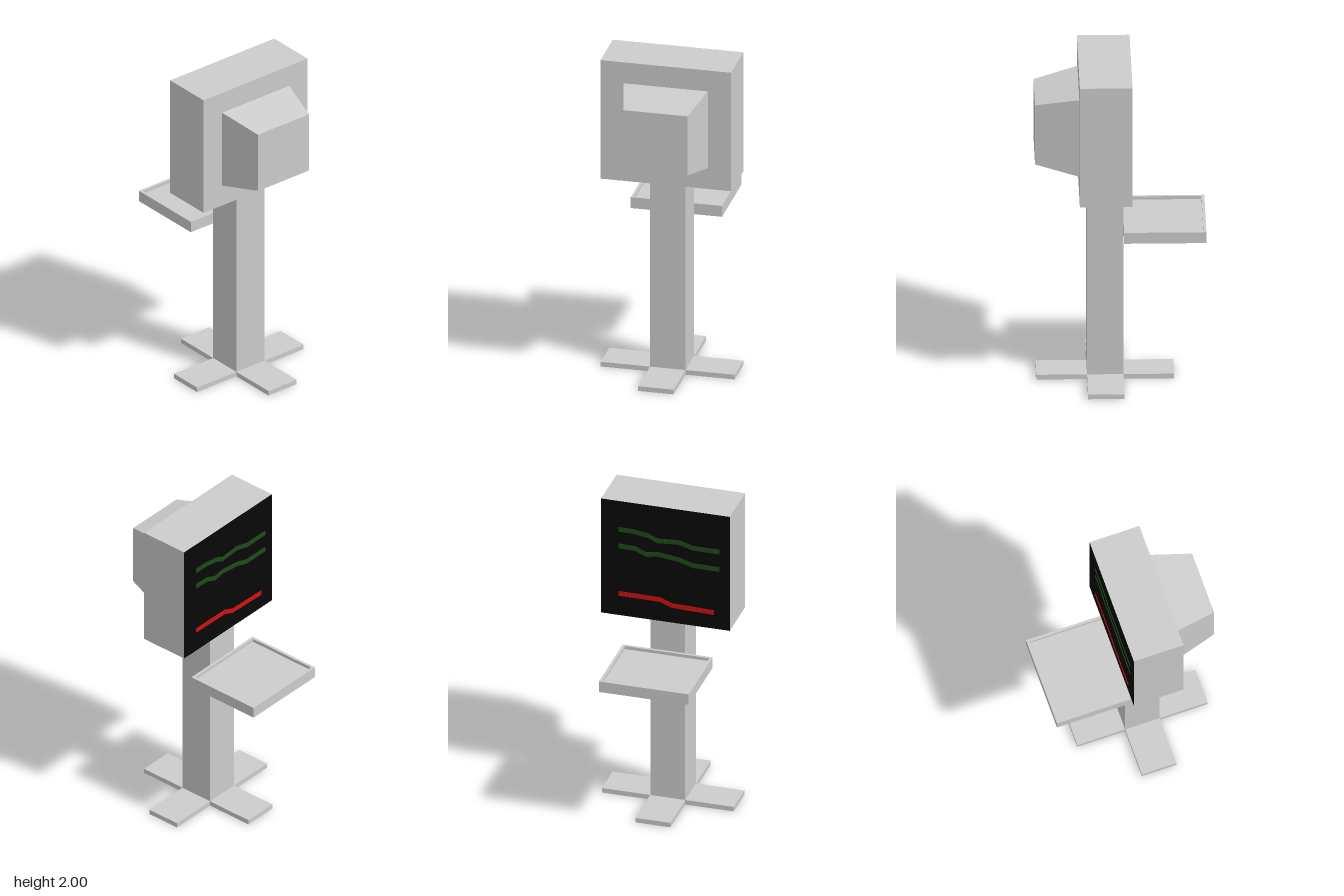
import * as THREE from 'three';

const material = (name, color) => {
  const m = new THREE.MeshStandardMaterial({ color, side: THREE.DoubleSide });
  m.name = name;
  return m;
};

// Horizontal rectangle at height y, counter-clockwise from above
const ringY = (x0, x1, z0, z1, y) =>
  [[x0, y, z1], [x1, y, z1], [x1, y, z0], [x0, y, z0]];

// Upright rectangle at x, counter-clockwise from +x
const ringX = (y0, y1, halfZ, x) =>
  [[x, y0, halfZ], [x, y0, -halfZ], [x, y1, -halfZ], [x, y1, halfZ]];

// Flat-faced skin over a series of rectangles; skip leaves one side open
function loft(rings, { cap = false, skip = -1 } = {}) {
  const pos = [];
  const quad = (a, b, c, d) => pos.push(...a, ...b, ...c, ...a, ...c, ...d);
  for (let i = 0; i + 1 < rings.length; i++) {
    for (let k = 0; k < 4; k++) {
      if (k === skip) continue;
      const n = (k + 1) % 4;
      quad(rings[i][k], rings[i][n], rings[i + 1][n], rings[i + 1][k]);
    }
  }
  if (cap) quad(...rings[rings.length - 1]);
  const g = new THREE.BufferGeometry();
  g.setAttribute('position', new THREE.Float32BufferAttribute(pos, 3));
  g.computeVertexNormals();
  return g;
}

// Thin wavy band on the screen through [z, y] points
function traceGeometry(points, width, depth) {
  const upper = points.map(([z, y]) => new THREE.Vector2(z, y + width / 2));
  const lower = points.map(([z, y]) => new THREE.Vector2(z, y - width / 2)).reverse();
  const g = new THREE.ExtrudeGeometry(new THREE.Shape([...lower, ...upper]),
    { depth, bevelEnabled: false });
  return g.translate(0, 0, -depth / 2).rotateY(-Math.PI / 2);
}

export function createModel() {
  const grey = material('casing grey', 0xcccccc);
  const black = material('screen black', 0x080808);
  const green = material('trace green', 0x1f4a1a);
  const red = material('trace red', 0xd01010);

  const model = new THREE.Group();
  model.name = 'monitorStand';
  const add = (name, geometry, mat, parent = model) => {
    const mesh = new THREE.Mesh(geometry, mat);
    mesh.name = name;
    parent.add(mesh);
    return mesh;
  };

  // Cross-shaped base: four feet, open underneath
  const cx = 0.087, half = 0.108;
  const base = new THREE.Group();
  base.name = 'base';
  base.position.x = cx;
  model.add(base);
  const foot = loft([0, 0.03].map(y => ringY(half, 0.408, -half, half, y)),
    { cap: true, skip: 3 });
  for (let i = 0; i < 4; i++) add('foot', foot, grey, base).rotation.y = i * Math.PI / 2;

  // Hollow square column
  add('column', loft([0.03, 1.235].map(y => ringY(cx - half, cx + half, -half, half, y))), grey);

  // Tray with a raised rim and a shallow floor, open underneath
  const x0 = -0.508, x1 = cx - half, z = 0.278, rim = 0.017;
  const inner = y => ringY(x0 + rim, x1 - rim, -z + rim, z - rim, y);
  add('tray', loft([
    ringY(x0, x1, -z, z, 0.945),
    ringY(x0, x1, -z, z, 1.015),
    inner(1.015),
    inner(0.995),
  ], { cap: true }), grey);

  // Monitor casing: top and sides, open underneath
  const front = ringX(1.235, 2, 0.398, -0.068);
  const rear = ringX(1.235, 2, 0.398, 0.244);
  add('casing', loft([front, rear], { skip: 0 }), grey);

  // Rear panel with the tapered tube housing
  add('rearHousing', loft([
    rear,
    ringX(1.37, 1.865, 0.256, 0.244),
    ringX(1.427, 1.808, 0.196, 0.505),
  ], { cap: true }), grey);

  // Screen
  add('screen', loft([[...front].reverse()], { cap: true }), black);

  // Signal traces
  const traces = [
    ['upperTrace', green, [[-0.29, 1.81], [-0.2, 1.81], [-0.105, 1.795], [-0.05, 1.77],
      [0.08, 1.78], [0.17, 1.755], [0.335, 1.755]]],
    ['middleTrace', green, [[-0.29, 1.7], [-0.19, 1.697], [-0.12, 1.668], [-0.05, 1.68],
      [0.08, 1.665], [0.17, 1.638], [0.335, 1.638]]],
    ['lowerTrace', red, [[-0.29, 1.38], [-0.2, 1.38], [-0.03, 1.378], [0.04, 1.35], [0.3, 1.343]]],
  ];
  for (const [name, mat, points] of traces) {
    add(name, traceGeometry(points, 0.03, 0.006), mat).position.x = -0.068;
  }

  return model;
}
